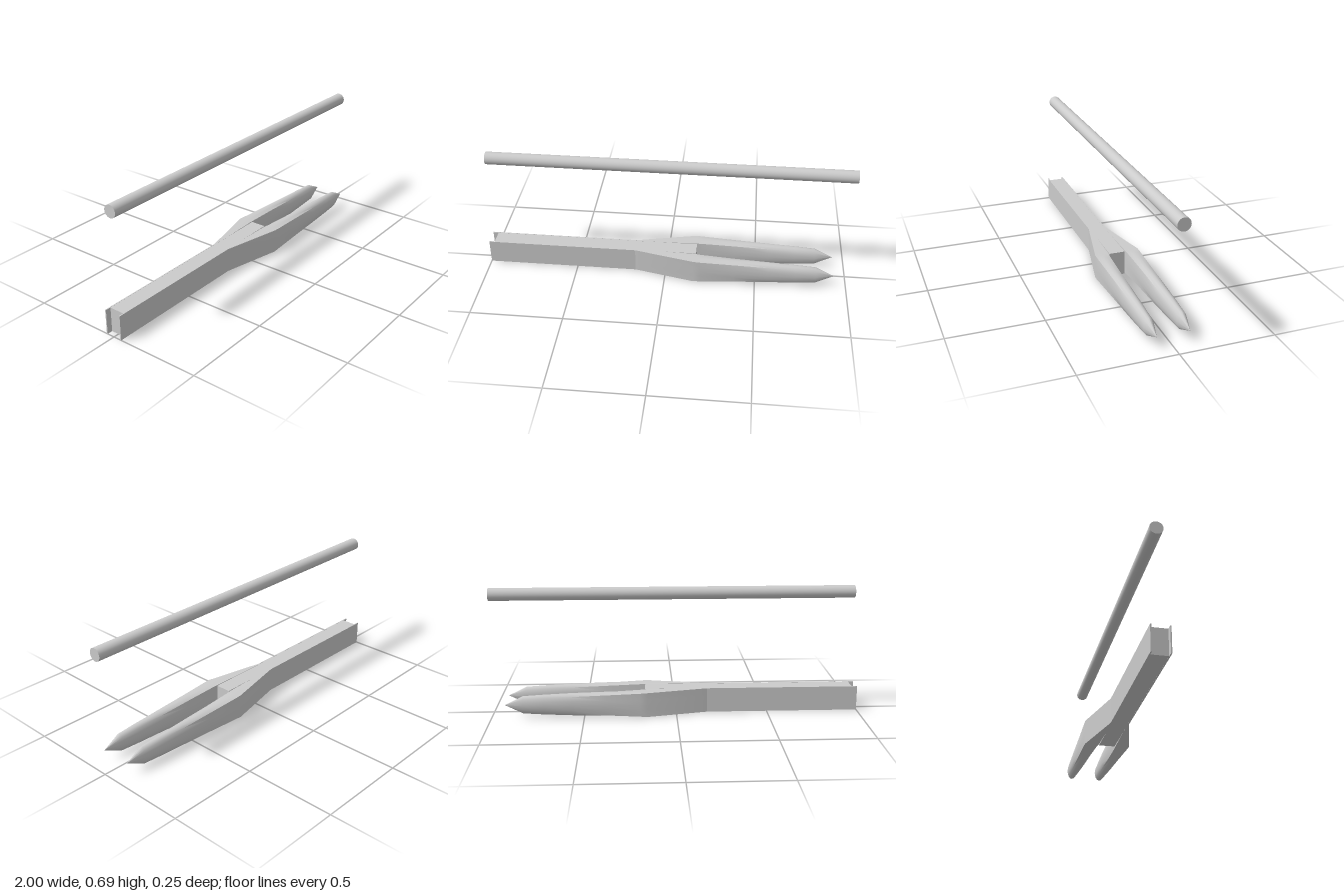
import * as THREE from 'three';
import { toCreasedNormals } from 'three/addons/utils/BufferGeometryUtils.js';

const material = new THREE.MeshStandardMaterial({ color: 0xcccccc });
const MID_Y = 0.0675;

function addPart(group, name, geometry, x = 0, y = 0, z = 0) {
  const mesh = new THREE.Mesh(geometry, material);
  mesh.name = name;
  mesh.position.set(x, y, z);
  group.add(mesh);
}

// Loft along x. Station: [x, inner z, outer z, half height, roundness 0 (box) to 1 (ellipse)]
function prongGeometry(side) {
  const stations = [
    [-0.17, 0.040, 0.048, 0.0675, 0],
    [0.16, 0.048, 0.122, 0.0675, 0],
    [0.20, 0.050, 0.123, 0.0670, 0.1],
    [0.38, 0.051, 0.122, 0.0665, 0.5],
    [0.57, 0.051, 0.120, 0.0625, 0.75],
    [0.72, 0.054, 0.117, 0.0560, 0.9],
    [0.83, 0.058, 0.112, 0.0490, 1],
    [0.93, 0.085, 0.085, 0, 1],
  ];
  const n = 16;
  const positions = [];
  const index = [];
  stations.forEach(([x, zIn, zOut, halfY, round], i) => {
    for (let j = 0; j < n; j++) {
      const a = (j / n) * Math.PI * 2;
      const c = Math.cos(a), s = Math.sin(a);
      const k = THREE.MathUtils.lerp(1 / Math.max(Math.abs(c), Math.abs(s)), 1, round);
      positions.push(x, MID_Y + s * k * halfY, side * (zIn + zOut) / 2 + c * k * (zOut - zIn) / 2);
      if (i < stations.length - 1) {
        const p = i * n + j, q = i * n + (j + 1) % n;
        index.push(p, p + n, q);
        // the last ring collapses to the tip, so it needs one triangle only
        if (i < stations.length - 2) index.push(q, p + n, q + n);
      }
    }
  });
  const geometry = new THREE.BufferGeometry();
  geometry.setAttribute('position', new THREE.Float32BufferAttribute(positions, 3));
  geometry.setIndex(index);
  return toCreasedNormals(geometry, 0.7);
}

export function createModel() {
  const model = new THREE.Group();
  model.name = 'forkedBarAndRod';

  // Separate round rod above the bar
  const rod = new THREE.CylinderGeometry(0.034, 0.034, 1.97, 32);
  rod.rotateZ(Math.PI / 2);
  addPart(model, 'rod', rod, 0.015, 0.659, 0);

  // Handle core, set in slightly from the end of the side plates
  addPart(model, 'handleCore', new THREE.BoxGeometry(1.14, 0.134, 0.086), -0.4, MID_Y, 0);

  // Side plates, each running on into a prong
  for (const [side, label] of [[1, 'front'], [-1, 'back']]) {
    addPart(model, label + 'SidePlate', new THREE.BoxGeometry(0.83, 0.135, 0.006), -0.585, MID_Y, side * 0.045);
    addPart(model, label + 'Prong', prongGeometry(side));
  }
  return model;
}
